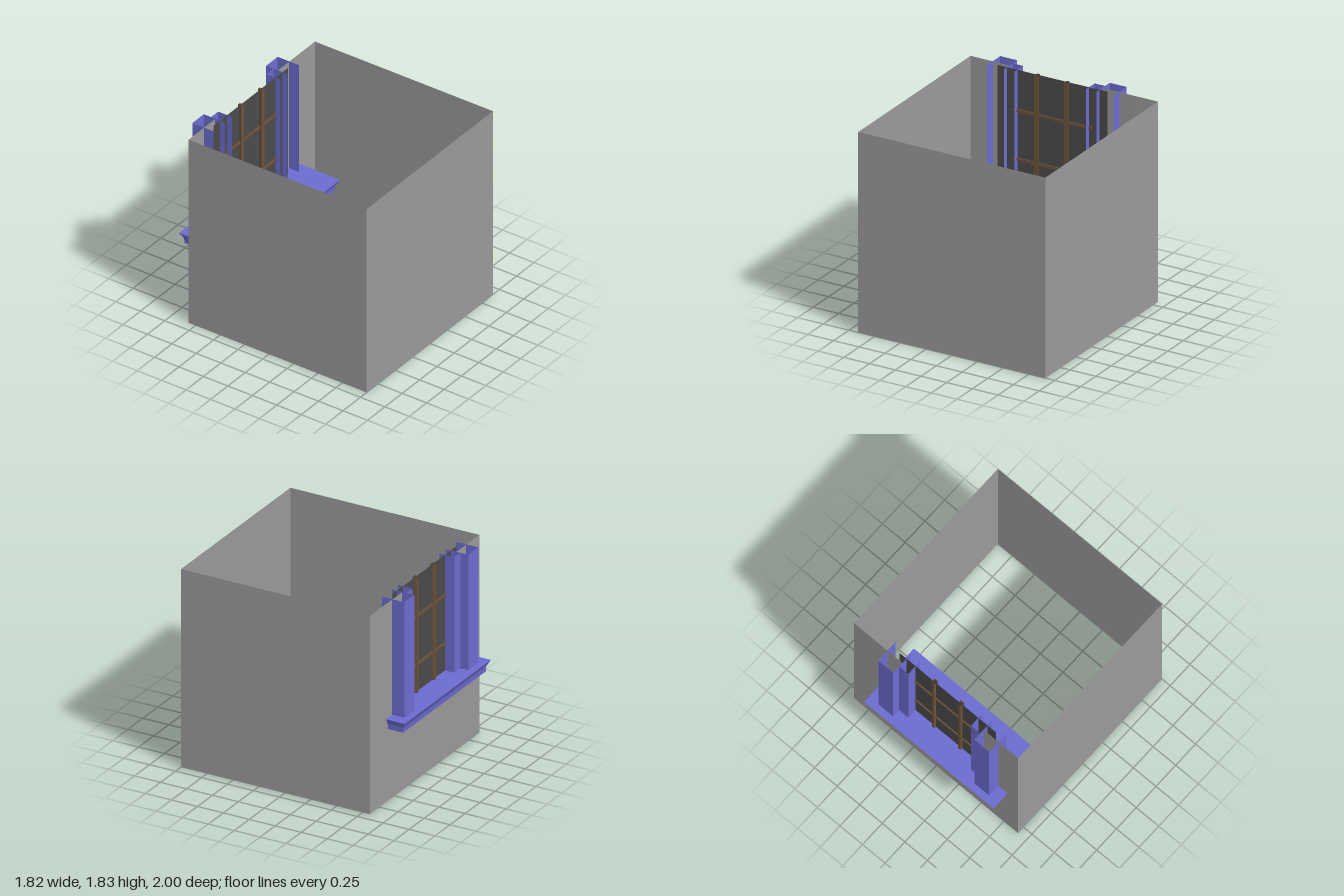
import * as THREE from 'three';

const mat = (name, color) => {
  const m = new THREE.MeshStandardMaterial({ color, side: THREE.DoubleSide });
  m.name = name;
  return m;
};

export function createModel() {
  const root = new THREE.Group();
  const wallGray = mat('wallGray', 0x9a9a9a);
  const trimBlue = mat('trimBlue', 0x6c6cd0);
  const glassGray = mat('glassGray', 0x4a4a4a);
  const woodBrown = mat('woodBrown', 0x6e523a);

  const W = 0.91, H = 1.83, BACK = -0.82, FRONT = 1;
  const CX = -0.077;            // window centre line
  const SILL = 0.766, TOP = 1.833;
  const GLASS_Z = -0.77;

  const add = (name, geo, material, parent = root) => {
    const m = new THREE.Mesh(geo, material);
    m.name = name;
    parent.add(m);
    return m;
  };

  // Upright sheet following a list of [x, z] points, open at top and bottom
  const sheet = (pts, y0, y1) => {
    const pos = [];
    for (let i = 0; i < pts.length - 1; i++) {
      const [ax, az] = pts[i], [bx, bz] = pts[i + 1];
      pos.push(ax, y0, az, bx, y0, bz, bx, y1, bz, ax, y0, az, bx, y1, bz, ax, y1, az);
    }
    const g = new THREE.BufferGeometry();
    g.setAttribute('position', new THREE.Float32BufferAttribute(pos, 3));
    g.computeVertexNormals();
    return g;
  };

  // Room: front and side walls, open above and below
  add('frontAndSideWalls', sheet([[-W, BACK], [-W, FRONT], [W, FRONT], [W, BACK]].reverse(), 0, H), wallGray);

  // Back wall with a notch for the window
  const n = 0.455;
  const back = new THREE.Shape([
    [-W, 0], [W, 0], [W, H], [CX + n, H], [CX + n, SILL - 0.05],
    [CX - n, SILL - 0.05], [CX - n, H], [-W, H],
  ].map(([x, y]) => new THREE.Vector2(x, y)));
  const backGeo = new THREE.ShapeGeometry(back);
  backGeo.rotateY(Math.PI);
  backGeo.scale(-1, 1, 1);
  // restore outward winding after the mirror
  const idx = backGeo.index.array;
  for (let i = 0; i < idx.length; i += 3) [idx[i], idx[i + 1]] = [idx[i + 1], idx[i]];
  backGeo.computeVertexNormals();
  // face the outside
  for (let i = 0; i < idx.length; i += 3) {
    const p = backGeo.attributes.normal;
    if (p.getZ(0) > 0) [idx[i], idx[i + 1]] = [idx[i + 1], idx[i]];
  }
  backGeo.computeVertexNormals();
  add('backWall', backGeo, wallGray).position.z = BACK;

  const win = new THREE.Group();
  win.name = 'window';
  root.add(win);

  // Stepped casings: deep outer pilaster and shallower inner one, hollow
  for (const s of [-1, 1]) {
    const at = (d, z) => [CX + s * d, z];
    const casing = new THREE.Group();
    casing.name = s < 0 ? 'rightCasing' : 'leftCasing';
    win.add(casing);
    const order = (p) => (s < 0 ? p : p.reverse());
    add('outerPilaster', sheet(order([at(0.615, -0.72), at(0.615, -0.937), at(0.45, -0.937), at(0.45, -0.72)]).reverse(), SILL, TOP), trimBlue, casing);
    add('innerPilaster', sheet(order([at(0.45, -0.862), at(0.348, -0.862), at(0.348, -0.72)]).reverse(), SILL, TOP), trimBlue, casing);
  }

  // Glass pane
  const pane = new THREE.PlaneGeometry(1.07, TOP - SILL);
  pane.rotateY(Math.PI);
  add('glass', pane, glassGray, win).position.set(CX - 0.008, (TOP + SILL) / 2, GLASS_Z);

  // Upright glazing bars, tapered towards the outside
  for (const x of [-0.23, 0.06]) {
    add('uprightBar', sheet([
      [x - 0.022, -0.75], [x - 0.012, -0.79], [x + 0.012, -0.79], [x + 0.022, -0.75], [x - 0.022, -0.75],
    ].reverse(), SILL, TOP), woodBrown, win);
  }

  // Horizontal glazing bars
  for (const y of [1.02, 1.465]) {
    add('crossBar', new THREE.BoxGeometry(0.765, 0.024, 0.022), woodBrown, win).position.set(CX - 0.005, y, GLASS_Z);
  }

  // Sill: mitred moulding flaring out to the top slab, smooth down each side
  const x0 = -0.795, x1 = 0.641, z0 = -1, z1 = -0.37;
  const profile = [[0, SILL], [0.022, 0.727], [0.031, 0.708], [0.032, 0.664]]; // inset, height
  const ring = ([d, y]) => [
    [x0 + d, y, z0 + d], [x0 + d, y, z1 - d], [x1 - d, y, z1 - d], [x1 - d, y, z0 + d],
  ];
  const pos = [], index = [];
  for (let k = 0; k < 4; k++) {
    const base = pos.length / 3;
    for (const p of profile) {
      const r = ring(p);
      pos.push(...r[k], ...r[(k + 1) % 4]);
    }
    for (let i = 0; i < profile.length - 1; i++) {
      const a = base + i * 2;
      index.push(a, a + 2, a + 1, a + 1, a + 2, a + 3);
    }
  }
  for (const [p, up] of [[profile[0], true], [profile[3], false]]) {
    const b = pos.length / 3;
    pos.push(...ring(p).flat());
    index.push(...(up ? [b, b + 1, b + 2, b, b + 2, b + 3] : [b, b + 2, b + 1, b, b + 3, b + 2]));
  }
  const sill = new THREE.BufferGeometry();
  sill.setAttribute('position', new THREE.Float32BufferAttribute(pos, 3));
  sill.setIndex(index);
  sill.computeVertexNormals();
  add('sill', sill, trimBlue, win);

  return root;
}
